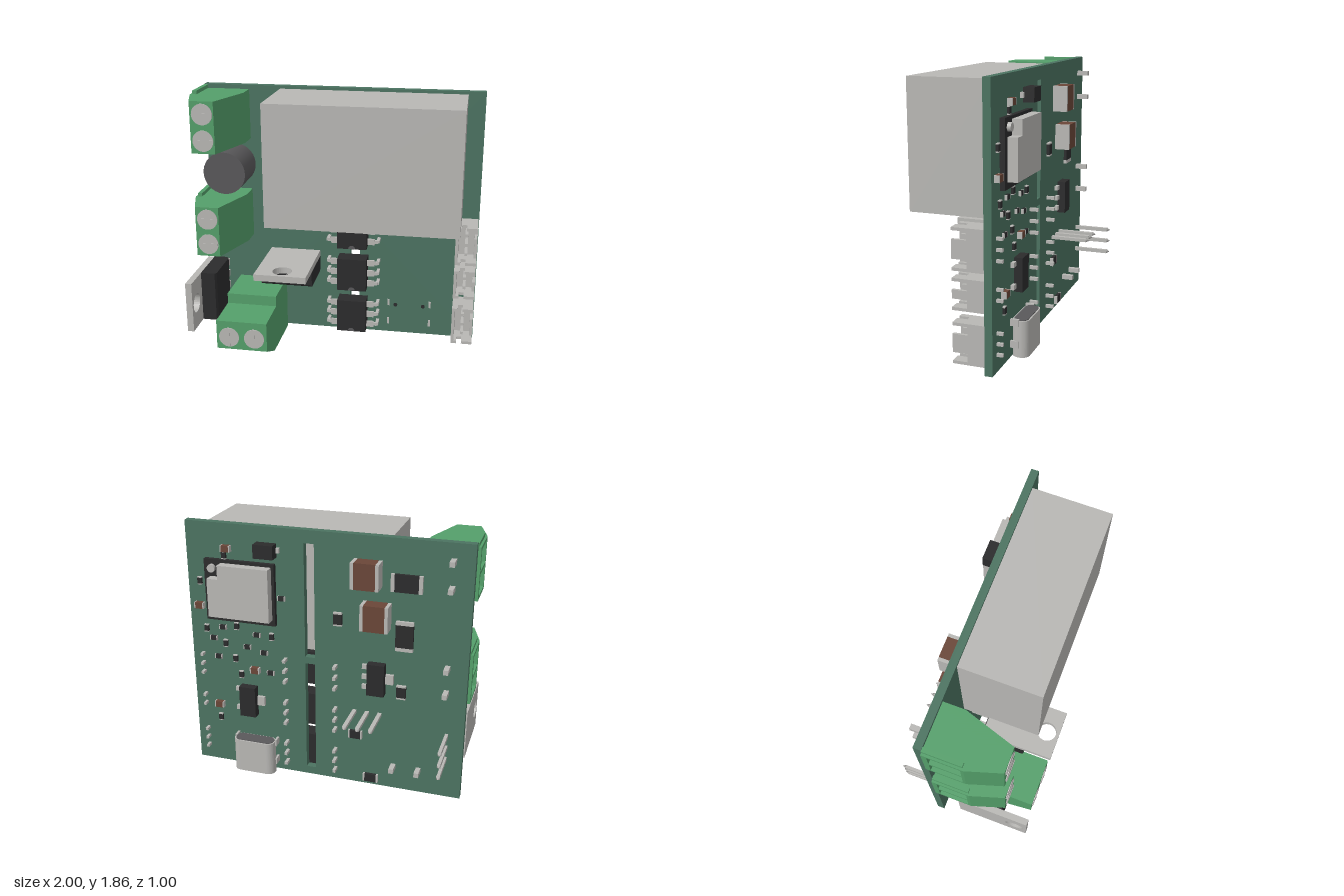
import * as THREE from 'three';

const mat = (name, color) => Object.assign(new THREE.MeshStandardMaterial({ color }), { name });
const M = {
  board: mat('board green', 0x4c7361),
  green: mat('terminal green', 0x549f6a),
  grey: mat('light grey', 0xb8b7b4),
  black: mat('plastic black', 0x2b2b2c),
  dark: mat('dark grey', 0x59585a),
  brown: mat('ceramic brown', 0x6a4638),
};
const BACK = -0.217, FRONT = -0.165;
const V = (x, y, z) => new THREE.Vector3(x, y, z);

export function createModel() {
  const root = new THREE.Group();
  root.name = 'relayBoard';
  const group = (name, parent = root) => {
    const g = new THREE.Group();
    g.name = name;
    parent.add(g);
    return g;
  };
  const add = (parent, name, geo, m) => {
    const mesh = new THREE.Mesh(geo, m);
    mesh.name = name;
    parent.add(mesh);
    return mesh;
  };
  // box given by its limits on each axis
  const box = (p, name, m, x0, x1, y0, y1, z0, z1) => add(p, name,
    new THREE.BoxGeometry(x1 - x0, y1 - y0, z1 - z0).translate((x0 + x1) / 2, (y0 + y1) / 2, (z0 + z1) / 2), m);
  // square pin along z
  const pin = (p, x, y, z0, z1, w = 0.024) => box(p, 'pin', M.grey, x - w / 2, x + w / 2, y - w / 2, y + w / 2, z0, z1);
  const disc = (p, name, m, x, y, r, z0, z1) => add(p, name,
    new THREE.CylinderGeometry(r, r, z1 - z0, 40).rotateX(Math.PI / 2).translate(x, y, (z0 + z1) / 2), m);
  const shapeOf = pts => new THREE.Shape(pts.map(p => new THREE.Vector2(...p)));
  const rect = (x0, x1, y0, y1) => shapeOf([[x0, y0], [x1, y0], [x1, y1], [x0, y1]]);
  const extrude = (shape, depth, curveSegments = 16) =>
    new THREE.ExtrudeGeometry(shape, { depth, bevelEnabled: false, curveSegments });

  // circuit board with two isolation slots
  const plate = rect(-0.98, 1, 0.02, 1.86);
  plate.holes.push(rect(0.077, 0.148, 0.957, 1.77), rect(0.077, 0.148, 0.078, 0.908));
  add(root, 'circuitBoard', extrude(plate, FRONT - BACK).translate(0, 0, BACK), M.board);

  // relay and round capacitor
  box(root, 'relay', M.grey, -0.43, 0.88, 0.995, 1.84, FRONT, 0.38);
  disc(root, 'roundCapacitor', M.dark, -0.775, 1.285, 0.15, FRONT, 0.12);

  // screw terminals: hollow profile across the full width, solid ribs between the wire openings
  const terminal = (outline, mouth, width, basis, origin) => {
    const g = group('screwTerminal');
    const place = geo => geo.applyMatrix4(basis).translate(...origin);
    const hollow = [outline[0], ...mouth, ...outline.slice(1)];
    add(g, 'terminalBody', place(extrude(shapeOf(hollow), width)), M.green);
    for (const t of [0, 0.47, 0.94])
      add(g, 'terminalRib', place(extrude(shapeOf(outline), width * 0.06).translate(0, 0, width * t)), M.green);
    return g;
  };
  const screw = (g, x, y, z, horizontal) => {
    disc(g, 'screw', M.grey, x, y, 0.072, z - 0.01, z + 0.006);
    const [a, b] = horizontal ? [0.068, 0.007] : [0.007, 0.068];
    box(g, 'screwSlot', M.grey, x - a, x + a, y - b, y + b, z, z + 0.009);
    pin(g, x, y, -0.3, FRONT, 0.034);
  };
  const sideways = new THREE.Matrix4().makeBasis(V(1, 0, 0), V(0, 0, 1), V(0, -1, 0));
  const upright = new THREE.Matrix4().makeBasis(V(0, 1, 0), V(0, 0, 1), V(1, 0, 0));
  for (const top of [1.83, 1.097]) {
    const g = terminal(
      [[-1, FRONT], [-1, 0.1], [-0.93, 0.325], [-0.765, 0.325], [-0.655, -0.02], [-0.655, FRONT]],
      [[-1, -0.13], [-0.84, -0.13], [-0.84, 0.08], [-1, 0.08]], 0.355, sideways, [0, top, 0]);
    box(g, 'dovetail', M.green, -0.985, -0.955, top, top + 0.025, FRONT, 0.09);
    for (const d of [0.087, 0.267]) screw(g, -0.845, top - d, 0.325, true);
  }
  const low = terminal(
    [[0, FRONT], [0.005, 0.26], [0.108, 0.473], [0.32, 0.473], [0.325, 0.187], [0.4, 0.187], [0.4, FRONT]],
    [[0.001, -0.12], [0.17, -0.12], [0.17, 0.2], [0.004, 0.2]], 0.36, upright, [-0.77, 0, 0]);
  box(low, 'dovetail', M.green, -0.785, -0.77, 0.062, 0.078, FRONT, 0.27);
  for (const x of [-0.68, -0.5]) screw(low, x, 0.2, 0.473, false);

  // power transistors: tab with hole, body and three leads
  const transistor = (basis, origin) => {
    const g = group('powerTransistor');
    const tab = rect(-0.18, 0.18, -0.02, 0.5);
    tab.holes.push(new THREE.Path().absarc(0, 0.41, 0.068, 0, Math.PI * 2));
    add(g, 'metalTab', extrude(tab, 0.045), M.grey);
    const profile = shapeOf([[0.045, -0.03], [0.135, -0.03], [0.157, -0.01], [0.157, 0.28], [0.145, 0.295], [0.045, 0.295]]);
    const body = extrude(profile, 0.36);
    body.applyMatrix4(new THREE.Matrix4().makeBasis(V(0, 0, 1), V(0, 1, 0), V(-1, 0, 0)));
    add(g, 'transistorBody', body.translate(0.18, 0, 0), M.black);
    for (const x of [-0.09, 0, 0.09]) {
      box(g, 'leadShoulder', M.grey, x - 0.025, x + 0.025, -0.165, -0.03, 0.095, 0.117);
      box(g, 'lead', M.grey, x - 0.014, x + 0.014, -0.475, -0.165, 0.095, 0.117);
      add(g, 'leadTip', new THREE.ConeGeometry(0.018, 0.027, 4, 1).rotateY(Math.PI / 4)
        .rotateX(Math.PI).translate(x, -0.4885, 0.106), M.grey);
    }
    g.applyMatrix4(basis.clone().setPosition(...origin));
  };
  transistor(upright, [-0.97, 0.415, 0]);
  transistor(sideways, [-0.3025, 0.7, 0]);

  // six-legged optocouplers over the slot
  for (const y of [0.842, 0.516, 0.187]) {
    const g = group('optocoupler');
    box(g, 'optoBody', M.black, 0, 0.213, y - 0.122, y + 0.122, -0.145, -0.025);
    add(g, 'indexNotch', new THREE.CircleGeometry(0.025, 16, 0, Math.PI).translate(0.107, y - 0.12, -0.024), M.dark);
    for (const s of [-1, 1]) for (const d of [-0.08, 0, 0.08]) {
      const a = 0.1065 + s * 0.1, b = 0.1065 + s * 0.16, c = 0.1065 + s * 0.183;
      box(g, 'legShoulder', M.grey, Math.min(a, b), Math.max(a, b), y + d - 0.022, y + d + 0.022, -0.095, -0.08);
      box(g, 'legBend', M.grey, Math.min(b, c), Math.max(b, c), y + d - 0.012, y + d + 0.012, -0.1, -0.083);
      pin(g, c, y + d, -0.275, -0.09, 0.022);
    }
  }

  // cable sockets: open shrouds with contact pins
  for (const [y0, y1, n] of [[0.68, 0.955, 3], [0.425, 0.633, 2], [0.072, 0.345, 3]]) {
    const g = group('cableSocket'), t = 0.02, top = 0.05, mid = (y0 + y1) / 2;
    box(g, 'socketFloor', M.grey, 0.845, 0.995, y0, y1, FRONT, -0.12);
    box(g, 'innerWall', M.grey, 0.845, 0.845 + t, y0, y1, -0.12, top);
    box(g, 'outerWallBase', M.grey, 0.995 - t, 0.995, y0, y1, -0.12, -0.05);
    box(g, 'outerWallMiddle', M.grey, 0.995 - t, 0.995, y0 + 0.075, y1 - 0.075, -0.05, top);
    for (const y of [y0, y1 - t]) {
      box(g, 'endWallBase', M.grey, 0.865, 0.975, y, y + t, -0.12, -0.02);
      box(g, 'endWall', M.grey, 0.92, 0.995, y, y + t, -0.05, top);
      box(g, 'endWallCorner', M.grey, 0.865, 0.885, y, y + t, -0.02, top);
    }
    for (let i = 0; i < n; i++) pin(g, 0.92, mid + (i - (n - 1) / 2) * 0.071, -0.26, 0.01, 0.02);
  }

  // radio module with stepped metal shield
  const radio = group('radioModule');
  box(radio, 'moduleBoard', M.black, 0.35, 0.86, 1.17, 1.61, -0.25, BACK);
  const lid = shapeOf([[0.37, 1.215], [0.815, 1.215], [0.815, 1.49], [0.735, 1.49], [0.735, 1.59], [0.37, 1.59]]);
  add(radio, 'shield', extrude(lid, 0.07).translate(0, 0, -0.317), M.grey);
  disc(radio, 'antennaSocket', M.grey, 0.8, 1.55, 0.028, -0.275, -0.25);

  // usb socket: rounded tube open downwards, with tongue and shield legs
  const usb = group('usbSocket');
  const stadium = (w, h) => {
    const r = h / 2 - 0.004, a = w / 2 - r, b = h / 2 - r, s = new THREE.Shape();
    s.absarc(a, b, r, 0, Math.PI / 2);
    s.absarc(-a, b, r, Math.PI / 2, Math.PI);
    s.absarc(-a, -b, r, Math.PI, Math.PI * 1.5);
    s.absarc(a, -b, r, Math.PI * 1.5, Math.PI * 2);
    return s;
  };
  const shell = stadium(0.31, 0.114);
  shell.holes.push(stadium(0.288, 0.092));
  add(usb, 'usbShell', extrude(shell, 0.25, 8).rotateX(Math.PI / 2).translate(0.525, 0.275, -0.276), M.grey);
  add(usb, 'usbRear', extrude(stadium(0.29, 0.094), 0.05, 8).rotateX(Math.PI / 2).translate(0.525, 0.28, -0.276), M.dark);
  box(usb, 'usbTongue', M.black, 0.41, 0.64, 0.05, 0.25, -0.285, -0.267);
  for (const x of [0.368, 0.675]) for (const y of [0.112, 0.262])
    box(usb, 'shieldLeg', M.grey, x - 0.008, x + 0.008, y - 0.024, y + 0.024, -0.275, -0.155);
  for (const x of [0.42, 0.625]) disc(usb, 'locatingPeg', M.black, x, 0.243, 0.014, BACK, -0.16);

  // chip parts on the back, with metal ends along their longer side
  const chip = (name, m, x, y, w, h, d, endsOnX = w >= h) => {
    const g = group(name), e = Math.max(w, h) * 0.12;
    const a = w / 2, b = h / 2, top = BACK - d;
    const [ia, ib] = endsOnX ? [a - e, b] : [a, b - e];
    box(g, 'chipBody', m, x - ia, x + ia, y - ib, y + ib, top, BACK);
    for (const s of [-1, 1]) {
      if (endsOnX) box(g, 'chipEnd', M.grey, x + s * (a - e / 2) - e / 2, x + s * (a - e / 2) + e / 2, y - b, y + b, top, BACK);
      else box(g, 'chipEnd', M.grey, x - a, x + a, y + s * (b - e / 2) - e / 2, y + s * (b - e / 2) + e / 2, top, BACK);
    }
  };
  chip('largeCapacitor', M.brown, -0.293, 1.612, 0.19, 0.18, 0.103, true);
  chip('largeCapacitor', M.brown, -0.36, 1.33, 0.19, 0.18, 0.103, true);
  for (const [x, y, w, h] of [[-0.553, 1.566, 0.21, 0.12], [-0.55, 1.2, 0.12, 0.21], [-0.09, 1.27, 0.06, 0.095],
    [-0.22, 0.413, 0.1, 0.06], [-0.337, 0.078, 0.11, 0.06], [-0.54, 0.79, 0.065, 0.1]])
    chip('resistor', M.black, x, y, w, h, 0.022);
  for (const [x, y] of [[0.92, 1.26], [0.7, 1.69], [0.52, 0.81], [0.81, 0.5]])
    chip('smallCapacitor', M.brown, x, y, 0.07, 0.045, 0.035);
  [[0.91, 1.44], [0.31, 1.37], [0.88, 1.09], [0.83, 1.02], [0.65, 1.13], [0.575, 0.98], [0.74, 0.99], [0.8, 0.88],
    [0.67, 0.88], [0.5, 1.08], [0.39, 1.08], [0.45, 0.95], [0.63, 0.76], [0.405, 0.8], [0.81, 0.39], [0.755, 1.11], [0.72, 1.64]]
    .forEach(([x, y], i) => chip('smallResistor', M.black, x, y, i % 2 ? 0.055 : 0.032, i % 2 ? 0.032 : 0.055, 0.018));

  // diode
  const diode = group('diode');
  box(diode, 'diodeBody', M.black, 0.335, 0.475, 1.66, 1.755, -0.303, BACK - 0.01);
  box(diode, 'diodeLeads', M.grey, 0.315, 0.495, 1.69, 1.725, -0.24, BACK);

  // regulator and serial chip with side leads
  for (const [x, y, left, right] of [[-0.37, 0.875, [-0.075, 0, 0.075], [0]], [0.57, 0.57, [-0.075, 0.075], [0]]]) {
    const g = group('smallChip');
    box(g, 'chipBody', M.black, x - 0.06, x + 0.06, y - 0.115, y + 0.115, -0.283, BACK - 0.008);
    for (const d of left) box(g, 'chipLead', M.grey, x + 0.06, x + 0.105, y + d - 0.016, y + d + 0.016, -0.24, BACK);
    for (const d of right) box(g, 'chipTab', M.grey, x - 0.115, x - 0.06, y + d - 0.035, y + d + 0.035, -0.24, BACK);
  }
  return root;
}
